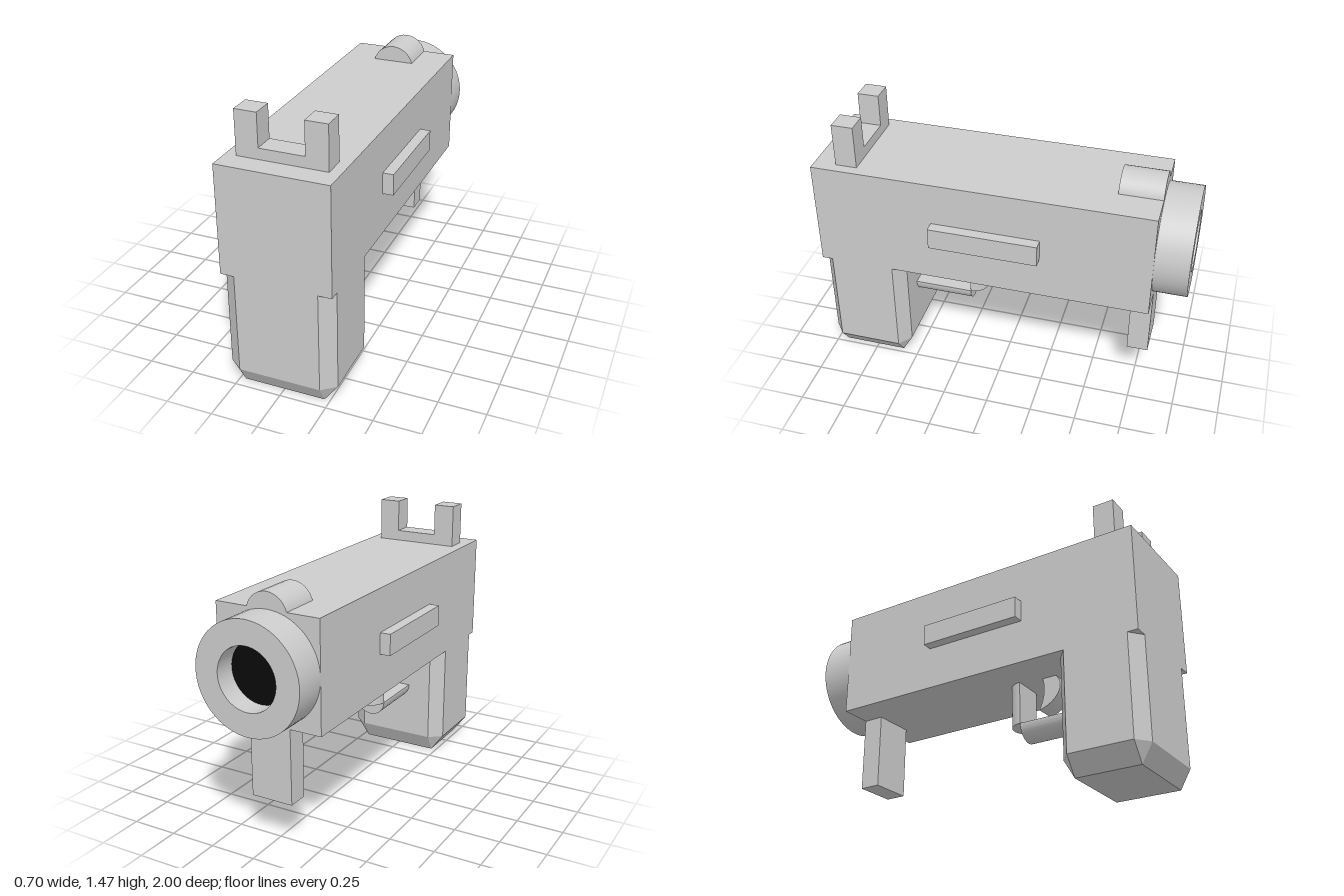
import * as THREE from 'three';
import { toCreasedNormals } from 'three/addons/utils/BufferGeometryUtils.js';
import { ConvexGeometry } from 'three/addons/geometries/ConvexGeometry.js';

export function createModel() {
  const group = new THREE.Group();
  const gray = new THREE.MeshStandardMaterial({ color: 0xcccccc });
  gray.name = 'lightGray';
  const black = new THREE.MeshStandardMaterial({ color: 0x0a0a0a });
  black.name = 'boreBlack';

  const add = (name, geometry, material = gray) => {
    const mesh = new THREE.Mesh(geometry, material);
    mesh.name = name;
    group.add(mesh);
    return mesh;
  };
  // Box given by its extents on each axis
  const box = (name, [x0, x1], [y0, y1], [z0, z1]) => {
    const g = new THREE.BoxGeometry(x1 - x0, y1 - y0, z1 - z0);
    g.translate((x0 + x1) / 2, (y0 + y1) / 2, (z0 + z1) / 2);
    return add(name, g);
  };
  const extrude = (shape, depth) => toCreasedNormals(
    new THREE.ExtrudeGeometry(shape, { depth, bevelEnabled: false, curveSegments: 32 }), 0.6);

  const W = 0.293; // half width of the body

  // Main body and front foregrip
  box('body', [-W, W], [0.65, 1.238], [-0.82, 1]);
  box('foregrip', [-0.117, 0.117], [0.24, 0.65], [-0.82, -0.705]);

  // Side rails
  box('leftRail', [W, 0.351], [0.885, 1.002], [-0.235, 0.35]);
  box('rightRail', [-0.351, -W], [0.885, 1.002], [-0.235, 0.35]);

  // Notched rear sight
  const notch = new THREE.Shape([
    [-0.235, 1.238], [0.235, 1.238], [0.235, 1.473], [0.118, 1.473],
    [0.118, 1.296], [-0.118, 1.296], [-0.118, 1.473], [-0.235, 1.473],
  ].map(([x, y]) => new THREE.Vector2(x, y)));
  add('rearSight', extrude(notch, 0.117)).position.z = 0.765;

  // Rounded sight over the muzzle end
  const bump = new THREE.CylinderGeometry(0.117, 0.117, 0.23, 32);
  bump.rotateX(Math.PI / 2);
  add('frontSight', bump).position.set(0, 1.208, -0.705);

  // Muzzle ring with its dark bore
  const ring = new THREE.Shape().absarc(0, 0, W, 0, Math.PI * 2, false);
  ring.holes.push(new THREE.Path().absarc(0, 0, 0.165, 0, Math.PI * 2, true));
  add('muzzle', extrude(ring, 0.18)).position.set(0, 0.945, -1);
  const bore = new THREE.CircleGeometry(0.166, 48);
  bore.rotateY(Math.PI);
  add('bore', bore, black).position.set(0, 0.945, -0.885);

  // Grip: chamfered corners and a tapered foot
  const points = [];
  for (const sx of [-1, 1]) {
    for (const [zIn, zOut] of [[0.592, 0.535], [0.942, 1]]) {
      for (const y of [0.1, 0.65]) {
        points.push(new THREE.Vector3(sx * W, y, zIn), new THREE.Vector3(sx * 0.22, y, zOut));
      }
      points.push(new THREE.Vector3(sx * 0.22, 0, zIn));
    }
  }
  add('grip', new ConvexGeometry(points));

  // Trigger guard from two half-round bars
  const half = new THREE.Shape().absarc(0, 0, 0.086, Math.PI, Math.PI * 2, false);
  half.closePath();
  add('guardBottom', extrude(half, 0.33)).position.set(0, 0.416, 0.21);
  const post = extrude(half, 0.234);
  post.rotateX(Math.PI / 2);
  add('guardFront', post).position.set(0, 0.65, 0.21);

  // Curved trigger, drawn in z and y
  const blade = new THREE.Shape();
  blade.moveTo(0.415, 0.65);
  blade.bezierCurveTo(0.475, 0.59, 0.42, 0.5, 0.312, 0.476);
  blade.quadraticCurveTo(0.36, 0.57, 0.335, 0.65);
  blade.closePath();
  const trigger = extrude(blade, 0.116);
  trigger.translate(0, 0, -0.058);
  trigger.rotateY(-Math.PI / 2);
  add('trigger', trigger);

  return group;
}
